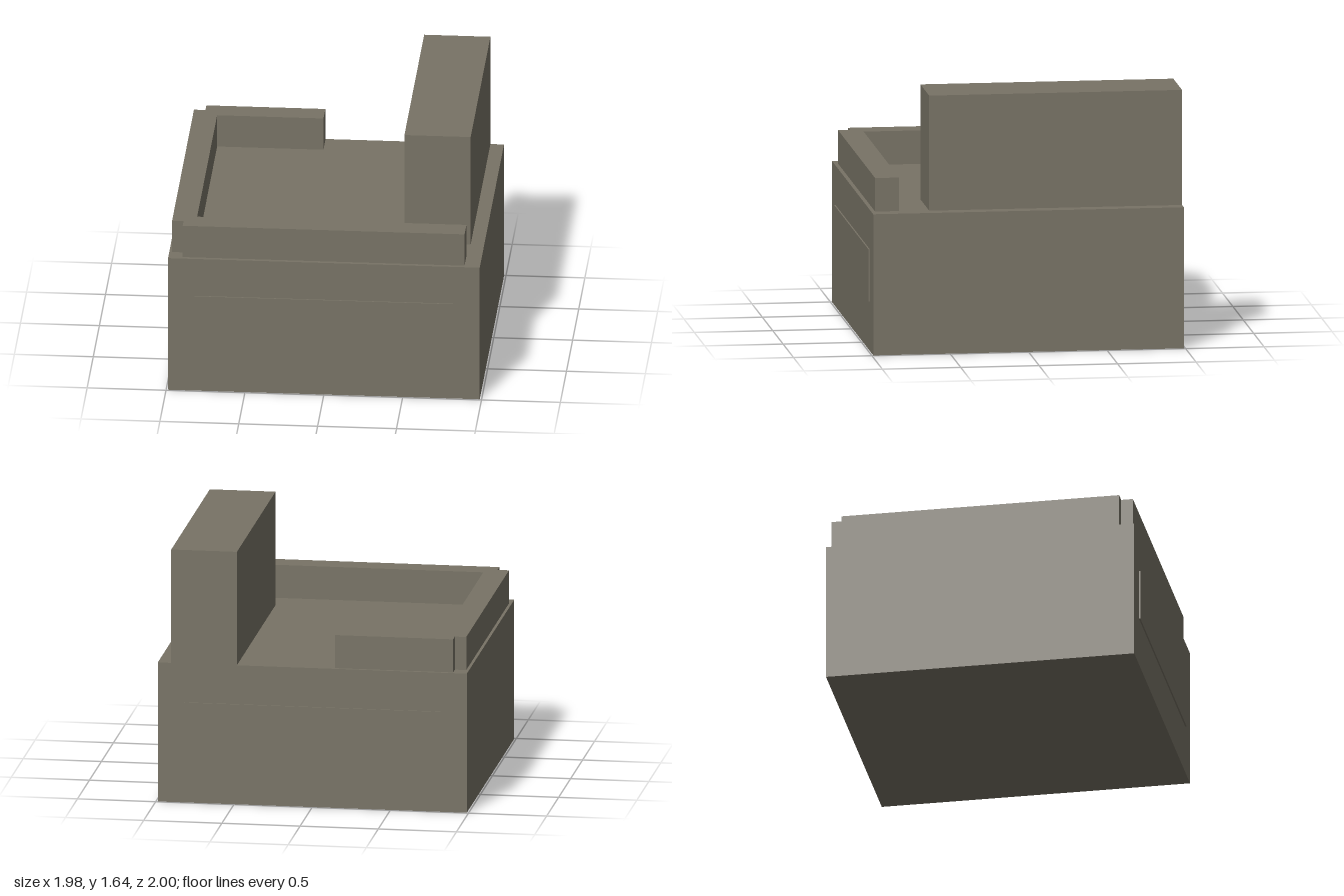
import * as THREE from 'three';

export function createModel() {
  const model = new THREE.Group();
  const concrete = new THREE.MeshStandardMaterial({ color: 0x787366 });
  concrete.name = 'concrete';

  // Box given by its lower and upper limits on each axis
  function block(name, [x0, x1], [y0, y1], [z0, z1]) {
    const mesh = new THREE.Mesh(new THREE.BoxGeometry(x1 - x0, y1 - y0, z1 - z0), concrete);
    mesh.position.set((x0 + x1) / 2, (y0 + y1) / 2, (z0 + z1) / 2);
    mesh.name = name;
    model.add(mesh);
  }

  const roof = 0.905;

  // Main body and the tall block on its roof
  block('mainBody', [-0.988, 0.988], [0, roof], [-0.99, 0.99]);
  block('upperBlock', [0.482, 0.902], [roof, 1.643], [-0.99, 0.622]);

  // Thin raised panels on the front and back walls
  block('frontPanel', [-0.82, 0.82], [0.318, 0.652], [0.99, 0.999]);
  block('backPanel', [-0.82, 0.82], [0.318, 0.652], [-0.999, -0.99]);

  // Parapet around three sides of the roof, with notched outer corners (x, z)
  const outline = [
    [0.89, 0.965], [-0.897, 0.965], [-0.897, 0.89], [-0.97, 0.89],
    [-0.97, -0.895], [-0.897, -0.895], [-0.897, -0.97], [-0.143, -0.97],
    [-0.143, -0.817], [-0.817, -0.817], [-0.817, 0.812], [0.89, 0.812],
  ];
  const shape = new THREE.Shape(outline.map(([x, z]) => new THREE.Vector2(x, -z)));
  const geometry = new THREE.ExtrudeGeometry(shape, { depth: 1.12 - roof, bevelEnabled: false });
  geometry.rotateX(-Math.PI / 2);
  const parapet = new THREE.Mesh(geometry, concrete);
  parapet.position.y = roof;
  parapet.name = 'parapet';
  model.add(parapet);

  return model;
}
